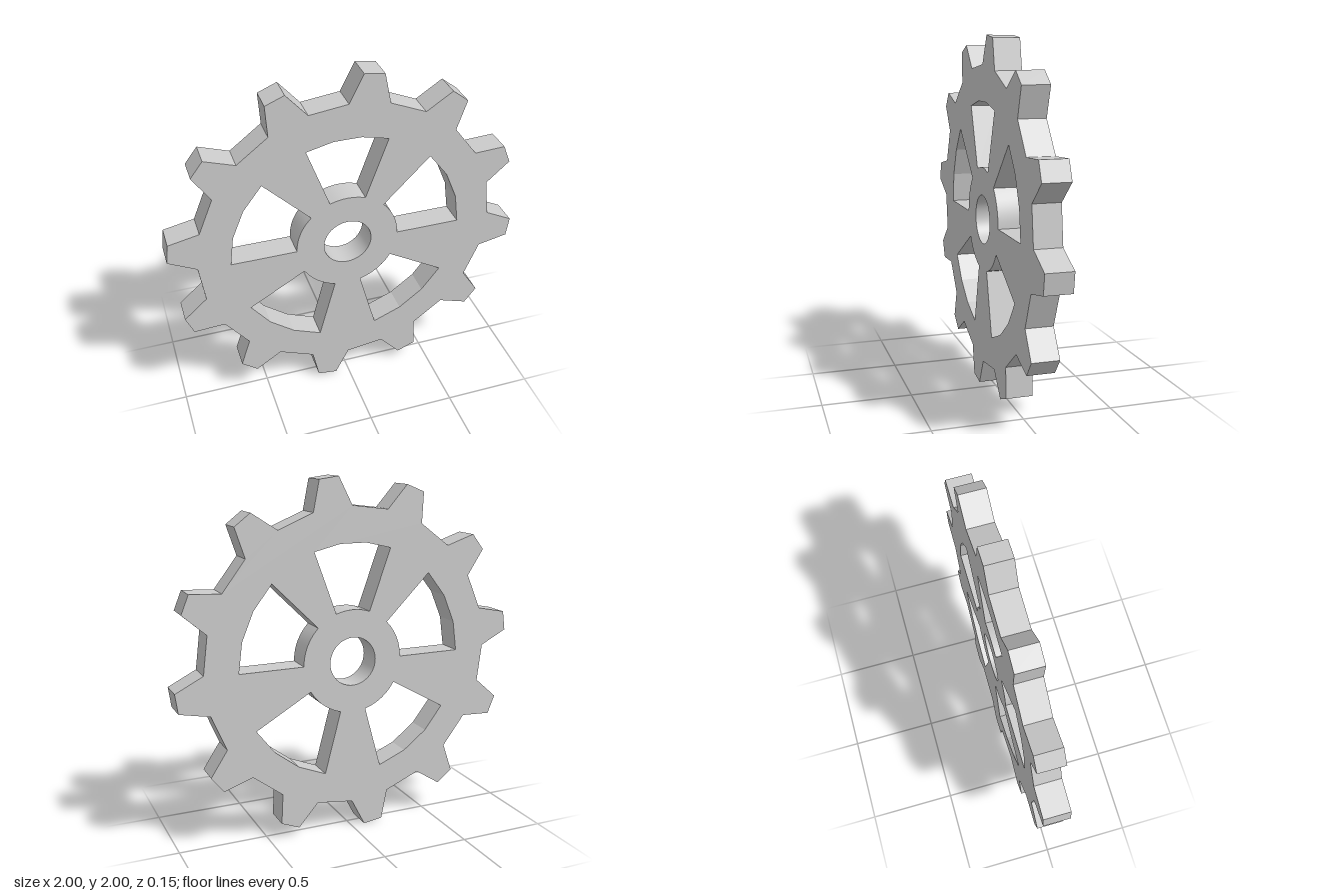
import * as THREE from 'three';
import { toCreasedNormals } from 'three/addons/utils/BufferGeometryUtils.js';

const DEPTH = 0.15;
const TEETH = 12;
const HUB = { x: -0.005, y: 0.988 };

const polar = (cx, cy, r, deg) => {
  const a = THREE.MathUtils.degToRad(deg);
  return new THREE.Vector2(cx + r * Math.cos(a), cy + r * Math.sin(a));
};

// Points along an arc around the hub centre
function arc(r, from, to, segments) {
  const pts = [];
  for (let i = 0; i <= segments; i++) {
    pts.push(polar(HUB.x, HUB.y, r, from + ((to - from) * i) / segments));
  }
  return pts;
}

// Toothed outline: root, tip, tip, root for each tooth
function toothedOutline() {
  const pts = [];
  for (let i = 0; i < TEETH; i++) {
    const mid = -7.7 + (i * 360) / TEETH;
    for (const [r, offset] of [[0.845, -7.7], [1.003, -3.2], [1.003, 3.2], [0.845, 7.7]]) {
      pts.push(polar(0, 1, r, mid + offset));
    }
  }
  return pts;
}

export function createModel() {
  const group = new THREE.Group();
  group.name = 'gear';

  const shape = new THREE.Shape(toothedOutline());

  // Axle bore
  shape.holes.push(new THREE.Path(arc(0.137, 0, 360, 48).slice(0, -1)));

  // Windows between the five spokes
  for (const [from, to] of [[0, 45], [70, 110], [135, 180], [210, 255], [285, 330]]) {
    shape.holes.push(new THREE.Path([
      ...arc(0.66, from, to, 3),
      ...arc(0.293, to, from, 6),
    ]));
  }

  // Gear plate, smooth only around the bore and hub
  const geometry = new THREE.ExtrudeGeometry(shape, { depth: DEPTH, bevelEnabled: false });
  geometry.translate(0, 0, -DEPTH / 2);
  const gear = new THREE.Mesh(
    toCreasedNormals(geometry, 0.2),
    new THREE.MeshStandardMaterial({ color: 0xcccccc })
  );
  gear.name = 'spokedGearWheel';
  group.add(gear);
  return group;
}
